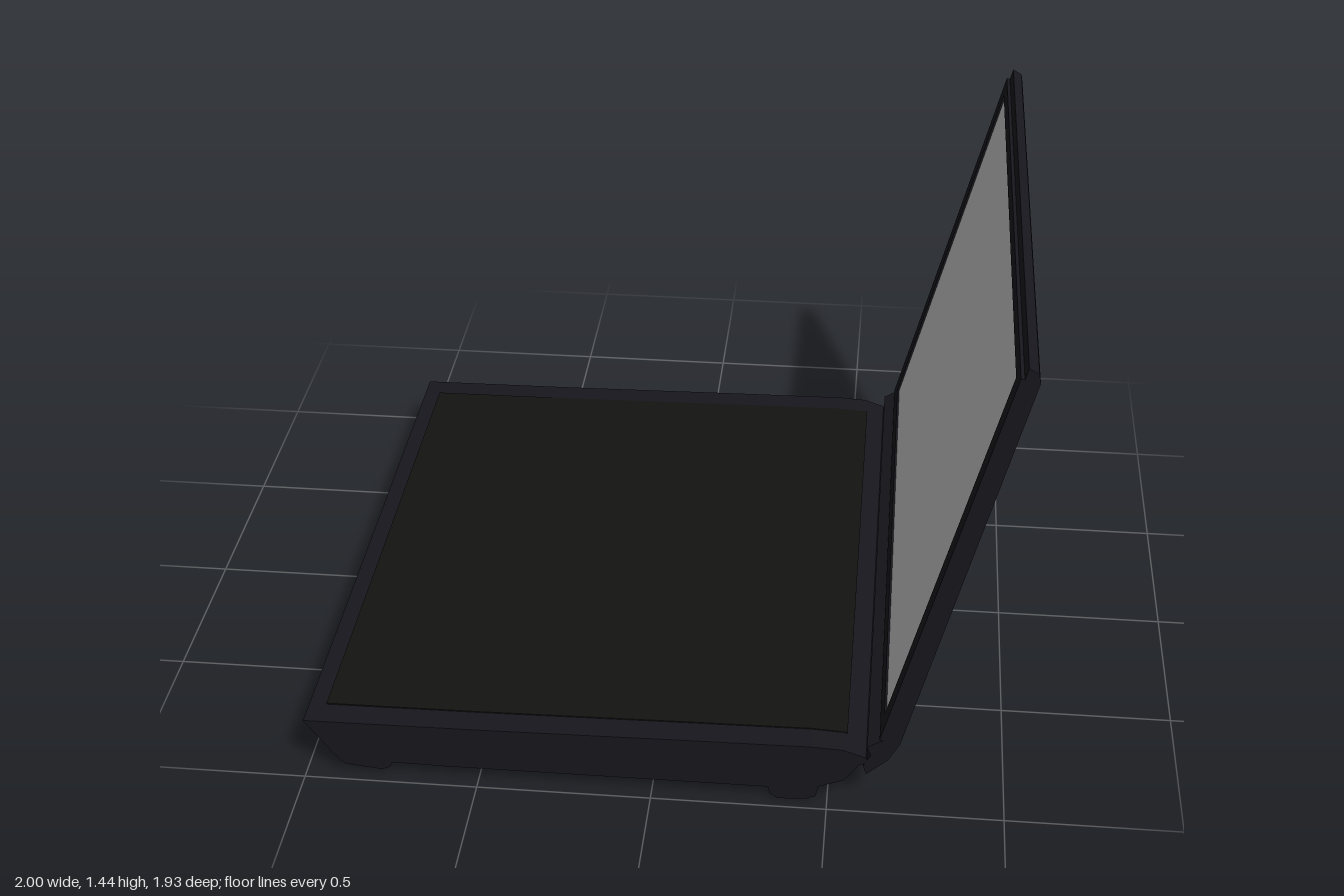
import * as THREE from 'three';

const HALF = 0.965; // half length along the hinge

const paint = (color) => new THREE.MeshStandardMaterial({ color, flatShading: true });
const shell = paint(0x18171d);
const deckDark = paint(0x131312);
const underside = paint(0x0c0b0f);
const screenGrey = paint(0xcccccc);

// Side profile in x/y, extruded along z from z0 to z1
function slab(name, points, z0, z1, material) {
  const shape = new THREE.Shape(points.map(([x, y]) => new THREE.Vector2(x, y)));
  const geometry = new THREE.ExtrudeGeometry(shape, { depth: z1 - z0, bevelEnabled: false });
  geometry.translate(0, 0, z0);
  const mesh = new THREE.Mesh(geometry, material);
  mesh.name = name;
  return mesh;
}

function rectangle(PathType, u0, v0, u1, v1) {
  const path = new PathType();
  path.moveTo(u0, v0);
  path.lineTo(u1, v0);
  path.lineTo(u1, v1);
  path.lineTo(u0, v1);
  path.closePath();
  return path;
}

function createBase() {
  const base = new THREE.Group();
  base.name = 'base';

  // Body with a sloping front and a chamfered back
  base.add(slab('body', [
    [-1, 0.18], [-0.915, 0.06], [-0.88, 0.05], [-0.6, 0.045], [0.36, 0.045],
    [0.47, 0.055], [0.545, 0.085], [0.57, 0.12], [0.585, 0.14], [0.61, 0.155],
    [0.605, 0.17], [0.54, 0.192], [0.45, 0.197], [0.1, 0.193], [-0.5, 0.184],
  ], -HALF, HALF, shell));

  // Dark keyboard deck, following the gentle rise of the body
  base.add(slab('keyboardDeck', [
    [-0.95, 0.17], [0.55, 0.17], [0.55, 0.193], [0.45, 0.2],
    [0.1, 0.196], [-0.5, 0.187], [-0.95, 0.184],
  ], -0.885, 0.885, deckDark));

  // Bottom plate
  base.add(slab('bottomPlate', [
    [-0.86, 0.06], [-0.6, 0.041], [0.34, 0.041], [0.47, 0.06],
  ], -0.88, 0.88, underside));

  // Four feet, at the outer edges
  const frontFoot = [[-0.915, 0.065], [-0.9, 0.04], [-0.88, 0.031], [-0.78, 0.02],
    [-0.758, 0.03], [-0.745, 0.055]];
  const backFoot = [[0.33, 0.05], [0.338, 0.022], [0.36, 0.005], [0.44, 0.01],
    [0.468, 0.022], [0.475, 0.06]];
  for (const side of [-1, 1]) {
    const z0 = side > 0 ? 0.895 : -HALF;
    base.add(slab('frontFoot', frontFoot, z0, z0 + 0.07, shell));
    base.add(slab('backFoot', backFoot, z0, z0 + 0.07, shell));
  }
  return base;
}

function createLid() {
  const lid = new THREE.Group();
  lid.name = 'lid';

  // Back shell with the hinge lip at its foot
  lid.add(slab('lidShell', [
    [0.607, 0.112], [0.666, 0.166], [0.698, 0.225], [0.998, 1.406], [0.993, 1.433],
    [0.966, 1.449], [0.957, 1.415], [0.65, 0.235], [0.607, 0.209], [0.618, 0.18], [0.598, 0.142],
  ], -HALF, HALF, shell));

  // Bezel and screen are built flat, then leaned back onto the shell
  const face = new THREE.Group();
  face.name = 'screenFace';
  const frame = rectangle(THREE.Shape, -HALF, 0, HALF, 1.22);
  frame.holes.push(rectangle(THREE.Path, -0.9, 0.04, 0.9, 1.185));
  const bezel = new THREE.Mesh(
    new THREE.ExtrudeGeometry(frame, { depth: 0.01, bevelEnabled: false }), shell);
  bezel.name = 'bezel';
  const screen = new THREE.Mesh(new THREE.PlaneGeometry(1.8, 1.145), screenGrey);
  screen.name = 'screen';
  screen.position.set(0, 0.6125, 0.004);
  face.add(bezel, screen);

  const up = new THREE.Vector3(0.307, 1.18, 0).normalize();
  const across = new THREE.Vector3(0, 0, 1);
  const out = new THREE.Vector3().crossVectors(across, up);
  face.quaternion.setFromRotationMatrix(new THREE.Matrix4().makeBasis(across, up, out));
  face.position.set(0.65, 0.235, 0);
  lid.add(face);
  return lid;
}

export function createModel() {
  const laptop = new THREE.Group();
  laptop.name = 'laptop';
  laptop.add(createBase(), createLid());
  return laptop;
}
